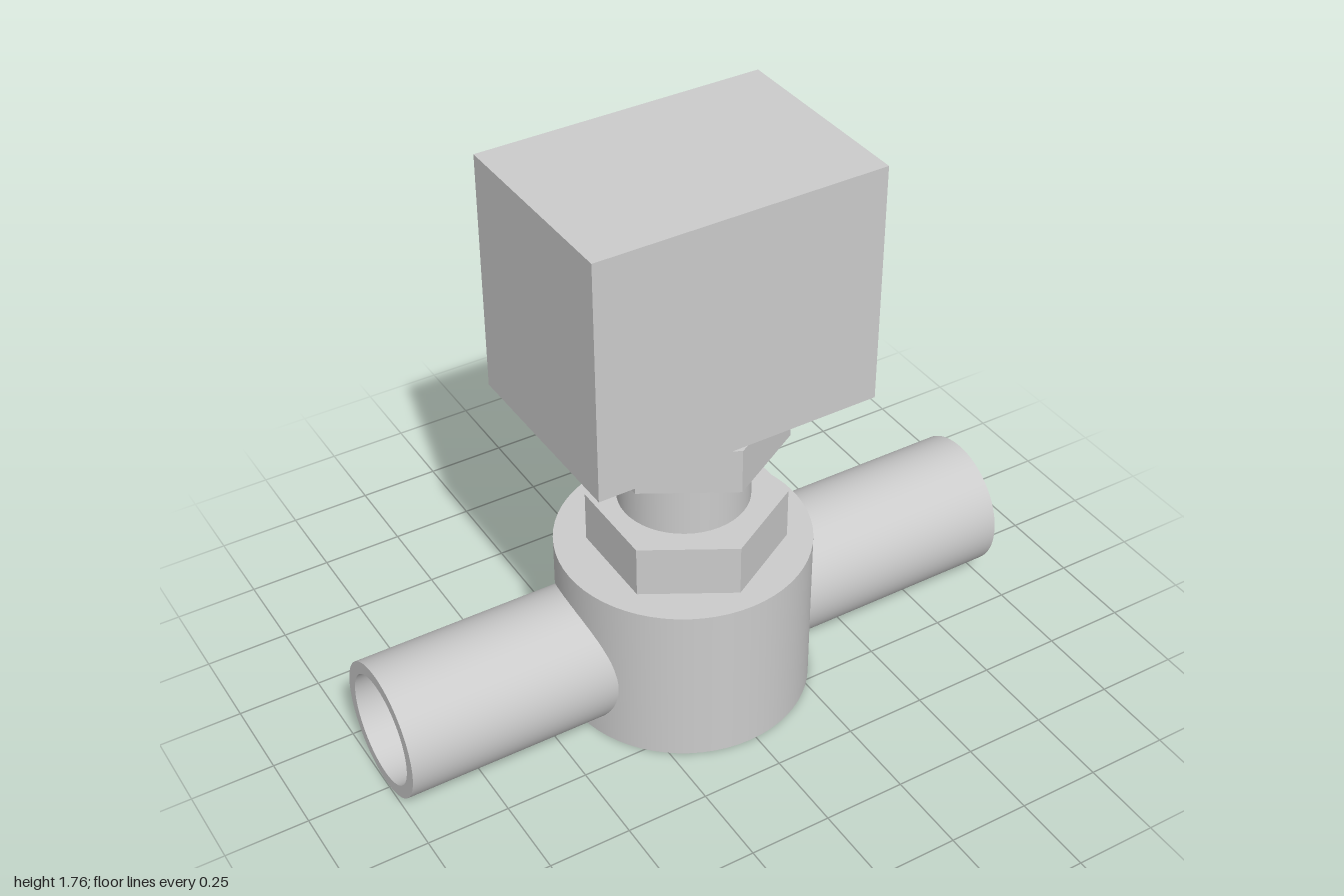
import * as THREE from 'three';
import { toCreasedNormals } from 'three/addons/utils/BufferGeometryUtils.js';

const smooth = new THREE.MeshStandardMaterial({ color: 0xcccccc });
const faceted = new THREE.MeshStandardMaterial({ color: 0xcccccc, flatShading: true });

export function createModel() {
  const model = new THREE.Group();
  model.name = 'valve';

  const add = (name, geometry, material, x, y, z) => {
    const mesh = new THREE.Mesh(geometry, material);
    mesh.name = name;
    mesh.position.set(x, y, z);
    model.add(mesh);
    return mesh;
  };

  // Upright cylinder or prism spanning y0 to y1
  const column = (name, radius, y0, y1, x, z, sides) =>
    add(name, new THREE.CylinderGeometry(radius, radius, y1 - y0, sides),
      sides === 6 ? faceted : smooth, x, (y0 + y1) / 2, z);

  // Valve body, stem and the two hexagonal nuts
  column('valveBody', 0.377, 0, 0.52, -0.02, 0, 64);
  column('lowerNut', 0.29, 0.52, 0.68, -0.02, 0.02, 6);
  column('stem', 0.193, 0.6, 1.04, -0.022, 0.007, 48);
  column('upperNut', 0.29, 0.88, 1.02, -0.02, 0.02, 6);

  // Actuator housing, turned very slightly on the stem
  add('actuatorBox', new THREE.BoxGeometry(0.873, 0.73, 0.61), smooth, -0.027, 1.395, 0.002)
    .rotation.y = 0.007;

  // Hollow pipes, their inner ends buried in the body
  const ring = new THREE.Shape().absarc(0, 0, 0.205, 0, Math.PI * 2);
  ring.holes.push(new THREE.Path().absarc(0, 0, 0.167, 0, Math.PI * 2, true));
  const length = 0.72;
  const pipe = toCreasedNormals(
    new THREE.ExtrudeGeometry(ring, { depth: length, bevelEnabled: false, curveSegments: 48 })
      .rotateY(Math.PI / 2), 0.6);
  add('leftPipe', pipe, smooth, 1 - length, 0.21, -0.02);
  add('rightPipe', pipe, smooth, -1, 0.21, -0.02);

  return model;
}
